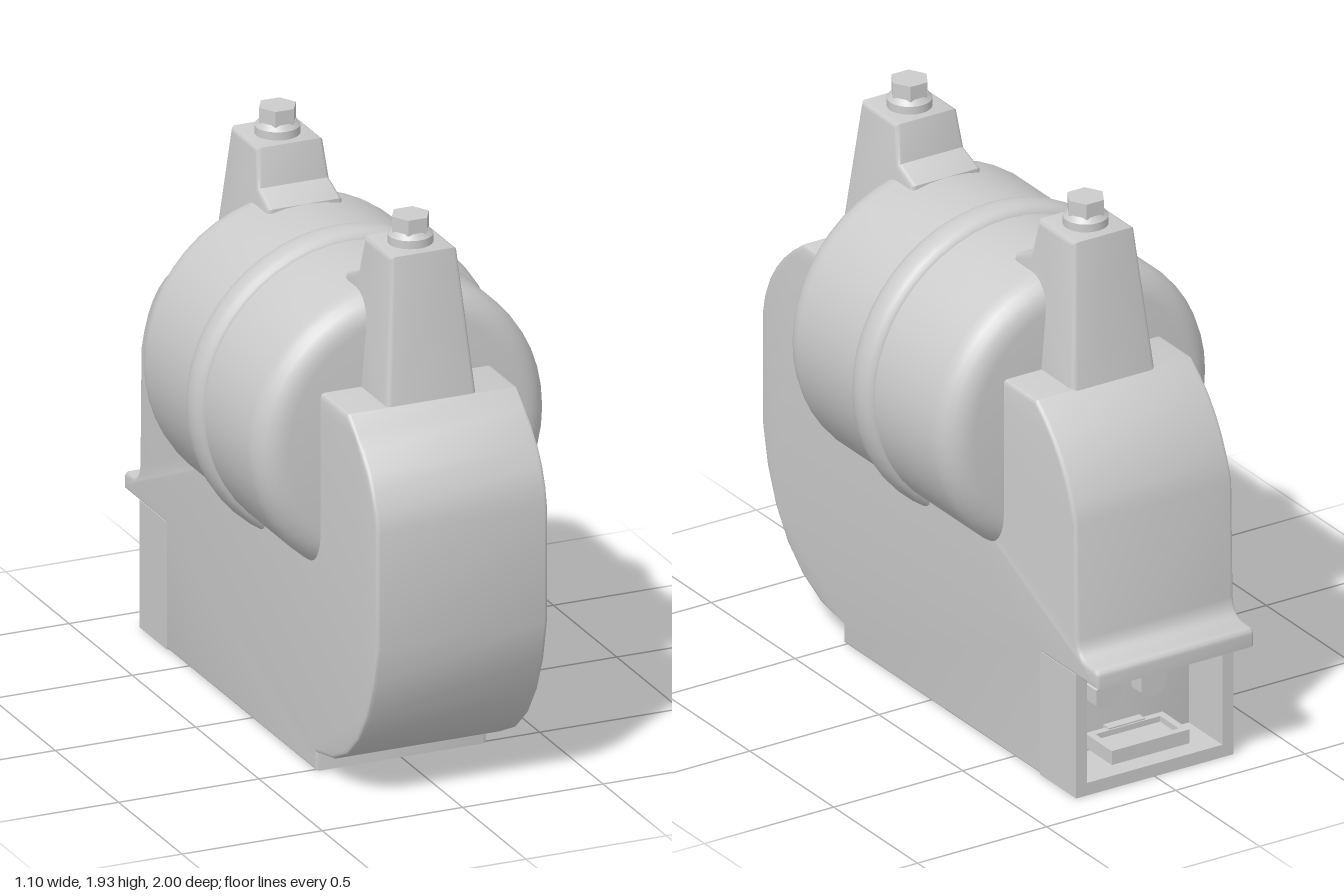
import * as THREE from 'three';
import { toCreasedNormals } from 'three/addons/utils/BufferGeometryUtils.js';

const grey = new THREE.MeshStandardMaterial({ color: 0xcccccc });

function add(parent, name, geometry, x = 0, y = 0, z = 0) {
  const mesh = new THREE.Mesh(geometry, grey);
  mesh.name = name;
  mesh.position.set(x, y, z);
  parent.add(mesh);
  return mesh;
}

// Extrude a side profile drawn in (z, y) across x, centred, with soft edges
function sideExtrude(shape, width, bevel) {
  const geo = new THREE.ExtrudeGeometry(shape, {
    depth: width - 2 * bevel, curveSegments: 6, bevelEnabled: true,
    bevelThickness: bevel, bevelSize: bevel, bevelOffset: -bevel, bevelSegments: 3,
  });
  geo.rotateY(-Math.PI / 2);
  geo.translate(width / 2 - bevel, 0, 0);
  return geo;
}

function rect(x0, y0, x1, y1, Type = THREE.Shape) {
  return new Type([[x0, y0], [x1, y0], [x1, y1], [x0, y1]].map(p => new THREE.Vector2(...p)));
}

function bodyGeometry() {
  const s = new THREE.Shape();
  s.moveTo(-0.675, 0);
  s.lineTo(0.515, 0);
  s.lineTo(0.515, 0.065);
  // rounded front
  s.bezierCurveTo(0.8, 0.085, 0.96, 0.3, 1, 0.6);
  s.lineTo(1, 1);
  s.bezierCurveTo(0.985, 1.14, 0.89, 1.25, 0.76, 1.335);
  // top and rounded back
  s.lineTo(-0.63, 1.335);
  s.bezierCurveTo(-0.75, 1.25, -0.83, 1.13, -0.87, 0.98);
  s.lineTo(-0.878, 0.57);
  // ledge over the socket
  s.quadraticCurveTo(-0.885, 0.51, -0.935, 0.507);
  s.lineTo(-0.975, 0.505);
  s.quadraticCurveTo(-1, 0.505, -1, 0.48);
  s.lineTo(-1, 0.44);
  s.lineTo(-0.675, 0.44);
  s.closePath();
  return toCreasedNormals(sideExtrude(s, 0.61, 0.013), 0.6);
}

// Drum profile: rounded ends and a raised band round the middle
function drumGeometry() {
  const R = 0.52, H = 0.5, c = 0.1, pts = [new THREE.Vector2(0, -H)];
  for (let i = 0; i <= 6; i++) {
    const a = (i / 6) * Math.PI / 2;
    pts.push(new THREE.Vector2(R - c + c * Math.sin(a), -H + c - c * Math.cos(a)));
  }
  for (let i = 0; i <= 8; i++) {
    const a = (i / 8) * Math.PI;
    pts.push(new THREE.Vector2(R + 0.028 * Math.sin(a), -0.06 * Math.cos(a)));
  }
  for (let i = 6; i >= 0; i--) {
    const a = (i / 6) * Math.PI / 2;
    pts.push(new THREE.Vector2(R - c + c * Math.sin(a), H - c + c * Math.cos(a)));
  }
  pts.push(new THREE.Vector2(0, H));
  const geo = new THREE.LatheGeometry(pts, 48);
  geo.rotateX(Math.PI / 2);
  return toCreasedNormals(geo, 0.6);
}

// Tapered post whose inner foot runs out onto the drum
function postGeometry() {
  const pts = [[0.7, 1.315], [0.697, 1.335], [0.637, 1.83], [0.42, 1.83], [0.393, 1.7], [0.3, 1.66], [0.3, 1.315]];
  const geo = sideExtrude(new THREE.Shape(pts.map(p => new THREE.Vector2(...p))), 0.32, 0.018);
  const pos = geo.attributes.position;
  for (let i = 0; i < pos.count; i++) {
    pos.setX(i, pos.getX(i) * (1 - 0.27 * (pos.getY(i) - 1.335) / 0.495));
  }
  return toCreasedNormals(geo, 0.6);
}

function boltGeometry() {
  const pts = [[0, 0], [0.075, 0], [0.075, 0.03], [0.06, 0.048], [0, 0.05]].map(p => new THREE.Vector2(...p));
  return toCreasedNormals(new THREE.LatheGeometry(pts, 24), 0.4);
}

export function createModel() {
  const model = new THREE.Group();
  model.name = 'coil';

  add(model, 'body', bodyGeometry());
  add(model, 'drum', drumGeometry(), 0, 1.14, 0.055);

  // Two terminal posts, one turned to face backwards
  for (const [name, turn] of [['frontTerminal', 0], ['rearTerminal', Math.PI]]) {
    const terminal = new THREE.Group();
    terminal.name = name;
    terminal.position.z = 0.062;
    terminal.rotation.y = turn;
    add(terminal, 'post', postGeometry());
    add(terminal, 'washer', boltGeometry(), 0, 1.828, 0.525);
    const head = new THREE.CylinderGeometry(0.066, 0.066, 0.055, 6).toNonIndexed();
    head.rotateY(Math.PI / 6);
    head.computeVertexNormals();
    add(terminal, 'hexHead', head, 0, 1.898, 0.525);
    model.add(terminal);
  }

  // Socket at the lower back
  const socket = new THREE.Group();
  socket.name = 'socket';
  const frame = rect(-0.305, 0, 0.305, 0.445);
  frame.holes.push(rect(-0.262, 0.045, 0.262, 0.42, THREE.Path));
  add(socket, 'socketWalls', new THREE.ExtrudeGeometry(frame, { depth: 0.215, bevelEnabled: false }), 0, 0, -0.875);
  for (const x of [-0.088, 0.088]) {
    const pin = new THREE.CylinderGeometry(0.055, 0.055, 0.07, 6).toNonIndexed();
    pin.rotateX(Math.PI / 2);
    pin.computeVertexNormals();
    add(socket, 'pin', pin, x, 0.26, -0.7);
  }
  // Latch: a flat plate with a raised rim and a stem to the socket's end wall
  add(socket, 'latchPlate', new THREE.BoxGeometry(0.28, 0.03, 0.14), 0, 0.085, -0.77);
  const rim = rect(-0.15, -0.08, 0.15, 0.08);
  rim.holes.push(rect(-0.125, -0.055, 0.125, 0.055, THREE.Path));
  const rimGeo = new THREE.ExtrudeGeometry(rim, { depth: 0.05, bevelEnabled: false });
  rimGeo.rotateX(-Math.PI / 2);
  add(socket, 'latchRim', rimGeo, 0, 0.07, -0.77);
  add(socket, 'latchStem', new THREE.BoxGeometry(0.14, 0.05, 0.06), 0, 0.1, -0.68);
  model.add(socket);

  return model;
}
